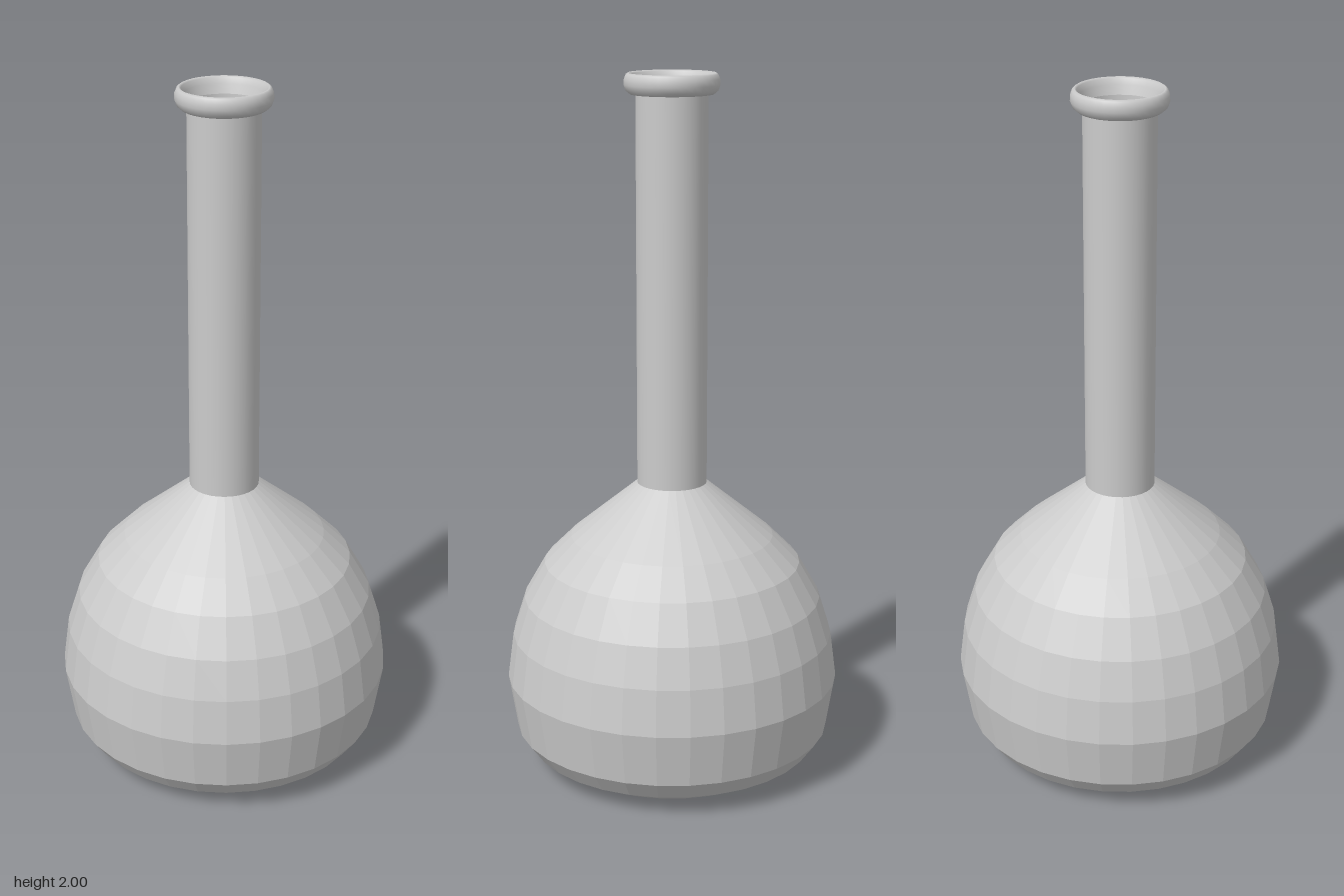
import * as THREE from 'three';

const SIDES = 32;

// Revolve a [radius, height] profile: rising runs face outward, falling runs inward.
function turned(name, profile, flat = false) {
  const points = profile.map(([r, y]) => new THREE.Vector2(r, y));
  const material = new THREE.MeshStandardMaterial({ color: 0xcccccc, flatShading: flat });
  const mesh = new THREE.Mesh(new THREE.LatheGeometry(points, SIDES), material);
  mesh.name = name;
  return mesh;
}

export function createModel() {
  const flask = new THREE.Group();
  flask.name = 'flask';

  // Faceted bulb with a flat base
  flask.add(turned('bulb', [
    [0, 0], [0.315, 0], [0.417, 0.055], [0.457, 0.11], [0.482, 0.265],
    [0.465, 0.395], [0.43, 0.505], [0.37, 0.61], [0.292, 0.688], [0.1, 0.845],
  ], true));

  // Long straight neck
  flask.add(turned('neck', [[0.1, 0.845], [0.1, 1.95]]));

  // Rounded lip around the mouth
  flask.add(turned('lip', [
    [0.1, 1.942], [0.115, 1.943], [0.126, 1.952], [0.132, 1.968],
    [0.131, 1.984], [0.126, 1.996], [0.12, 2], [0.114, 1.996], [0.108, 1.98], [0.1, 1.955],
  ]));

  // Bore of the neck, narrowing downward
  flask.add(turned('neckBore', [[0.1, 1.955], [0.07, 0.85]]));

  // Hollow inside of the bulb, down to the inner floor
  flask.add(turned('bulbInterior', [
    [0.07, 0.85], [0.28, 0.675], [0.355, 0.6], [0.415, 0.495], [0.45, 0.39],
    [0.465, 0.265], [0.44, 0.12], [0.4, 0.07], [0.31, 0.02], [0, 0.02],
  ], true));

  return flask;
}
